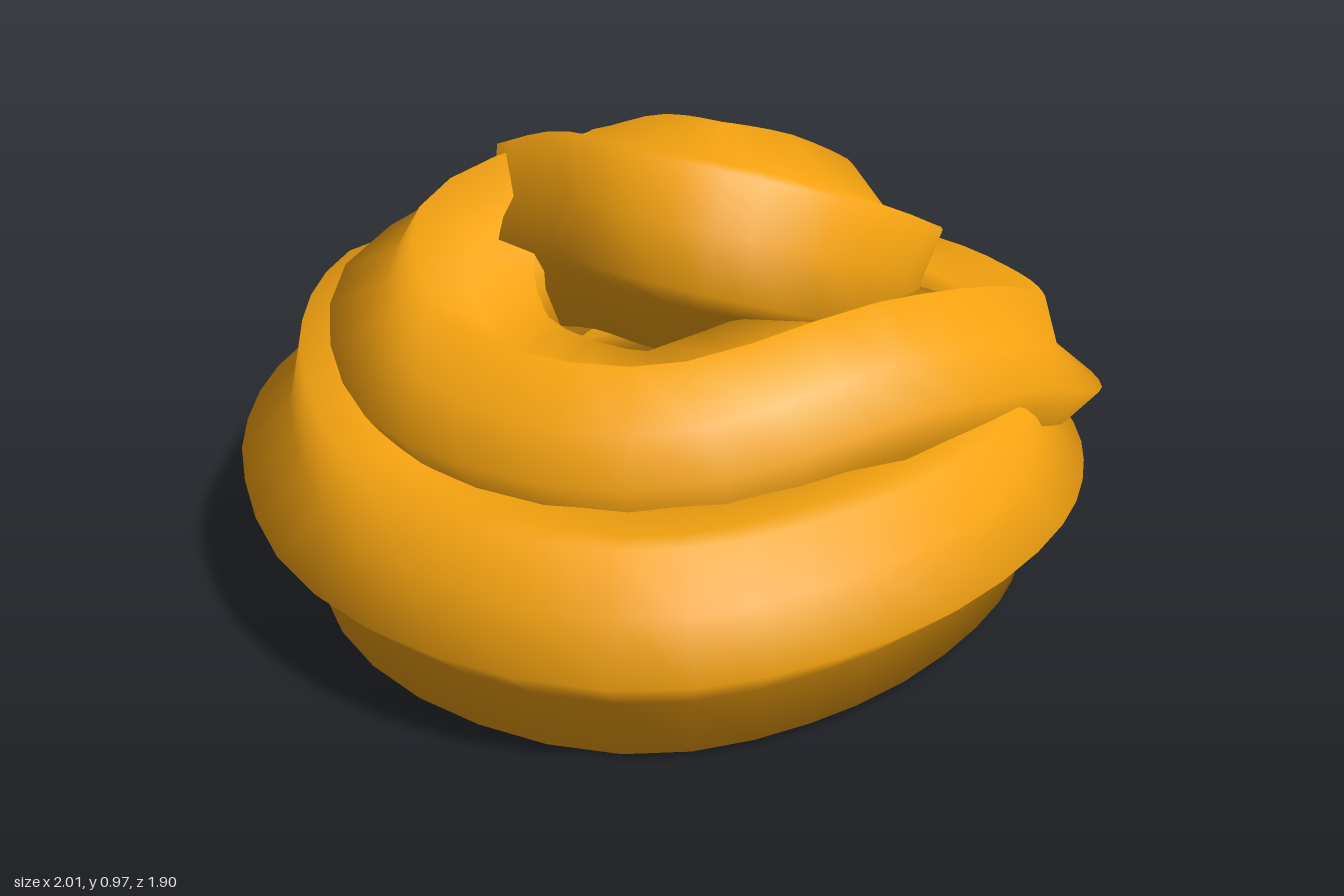
import * as THREE from 'three';

// Centre line of the swirl, from the buried start up to the tip:
// x, y, z, thickness, roll in degrees (positive lifts the outer ridge)
const PATH = [
  [0.58, 0.25, 0.23, 1, 0], [0.43, 0.245, 0.45, 1, 0], [0.18, 0.24, 0.625, 1, 0],
  [-0.26, 0.235, 0.705, 1, 0], [-0.605, 0.22, 0.57, 1, 0], [-0.76, 0.22, 0.12, 1.02, 0],
  [-0.63, 0.28, -0.29, 1.16, 0], [-0.37, 0.315, -0.56, 1.2, 0], [0.1, 0.285, -0.71, 1.02, 0],
  [0.55, 0.28, -0.54, 1.05, 0], [0.76, 0.26, -0.1, 1, 0], [0.7, 0.27, 0.2, 1, 0],
  [0.55, 0.31, 0.4, 1, 6], [0.33, 0.41, 0.49, 1, 12], [0, 0.47, 0.52, 1, 15],
  [-0.43, 0.41, 0.39, 1, 15], [-0.55, 0.42, -0.02, 1.02, 12], [-0.41, 0.53, -0.29, 1.08, 20],
  [0.03, 0.59, -0.38, 1, 32], [0.36, 0.53, -0.3, 1, 26], [0.41, 0.5, 0, 1, 20],
  [0.27, 0.59, 0.19, 1, 30], [0, 0.72, 0.26, 1, 42], [-0.13, 0.755, 0.18, 1, 56],
  [-0.14, 0.74, -0.02, 1, 60], [-0.09, 0.63, -0.35, 1, 60],
];
const TIP = 0.24;      // radius at the six ridges
const VALLEY = 0.17;   // radius between the ridges
const SIDES = 12;
const STEPS = (PATH.length - 1) * 4;

// Thickness (k = 3) or roll (k = 4) at t = 0..1 along the path
function pathValue(t, k) {
  const f = t * (PATH.length - 1);
  const i = Math.min(Math.floor(f), PATH.length - 2);
  return THREE.MathUtils.lerp(PATH[i][k], PATH[i + 1][k], f - i);
}

// Sweeps a six-pointed star along the curve, rolled about its centre line
function sweepStar(curve) {
  const pos = [];
  const index = [];
  const up = new THREE.Vector3(0, 1, 0);
  for (let i = 0; i <= STEPS; i++) {
    const t = i / STEPS;
    const centre = curve.getPoint(t);
    const tangent = curve.getTangent(t);
    const inward = new THREE.Vector3().crossVectors(tangent, up).normalize();
    const rise = new THREE.Vector3().crossVectors(inward, tangent);
    const scale = pathValue(t, 3);
    const roll = THREE.MathUtils.degToRad(pathValue(t, 4));
    for (let j = 0; j < SIDES; j++) {
      const a = (j / SIDES) * Math.PI * 2 - roll;
      const r = scale * (j % 2 ? VALLEY : TIP);
      const p = centre.clone()
        .addScaledVector(inward, r * Math.cos(a))
        .addScaledVector(rise, r * Math.sin(a));
      pos.push(p.x, p.y, p.z);
    }
  }
  for (let i = 0; i < STEPS; i++) {
    for (let j = 0; j < SIDES; j++) {
      const a = i * SIDES + j, b = i * SIDES + ((j + 1) % SIDES);
      const c = a + SIDES, d = b + SIDES;
      index.push(a, c, b, b, c, d);
    }
  }
  // End caps, with their own corners so the rim stays sharp
  for (const end of [0, STEPS]) {
    const first = pos.length / 3;
    pos.push(...curve.getPoint(end / STEPS).toArray());
    for (let j = 0; j < SIDES; j++) {
      const s = (end * SIDES + j) * 3;
      pos.push(pos[s], pos[s + 1], pos[s + 2]);
    }
    for (let j = 0; j < SIDES; j++) {
      const a = first + 1 + j, b = first + 1 + ((j + 1) % SIDES);
      if (end) index.push(first, b, a);
      else index.push(first, a, b);
    }
  }
  const geometry = new THREE.BufferGeometry();
  geometry.setAttribute('position', new THREE.Float32BufferAttribute(pos, 3));
  geometry.setIndex(index);
  geometry.computeVertexNormals();
  return geometry;
}

export function createModel() {
  const group = new THREE.Group();
  group.name = 'pipedSwirl';

  const curve = new THREE.CatmullRomCurve3(PATH.map(([x, y, z]) => new THREE.Vector3(x, y, z)));
  // The tight bend at the tip folds over itself, so both sides are drawn
  const swirl = new THREE.Mesh(
    sweepStar(curve),
    new THREE.MeshStandardMaterial({ color: 0xf5a310, side: THREE.DoubleSide }),
  );
  swirl.name = 'swirl';
  group.add(swirl);
  return group;
}
